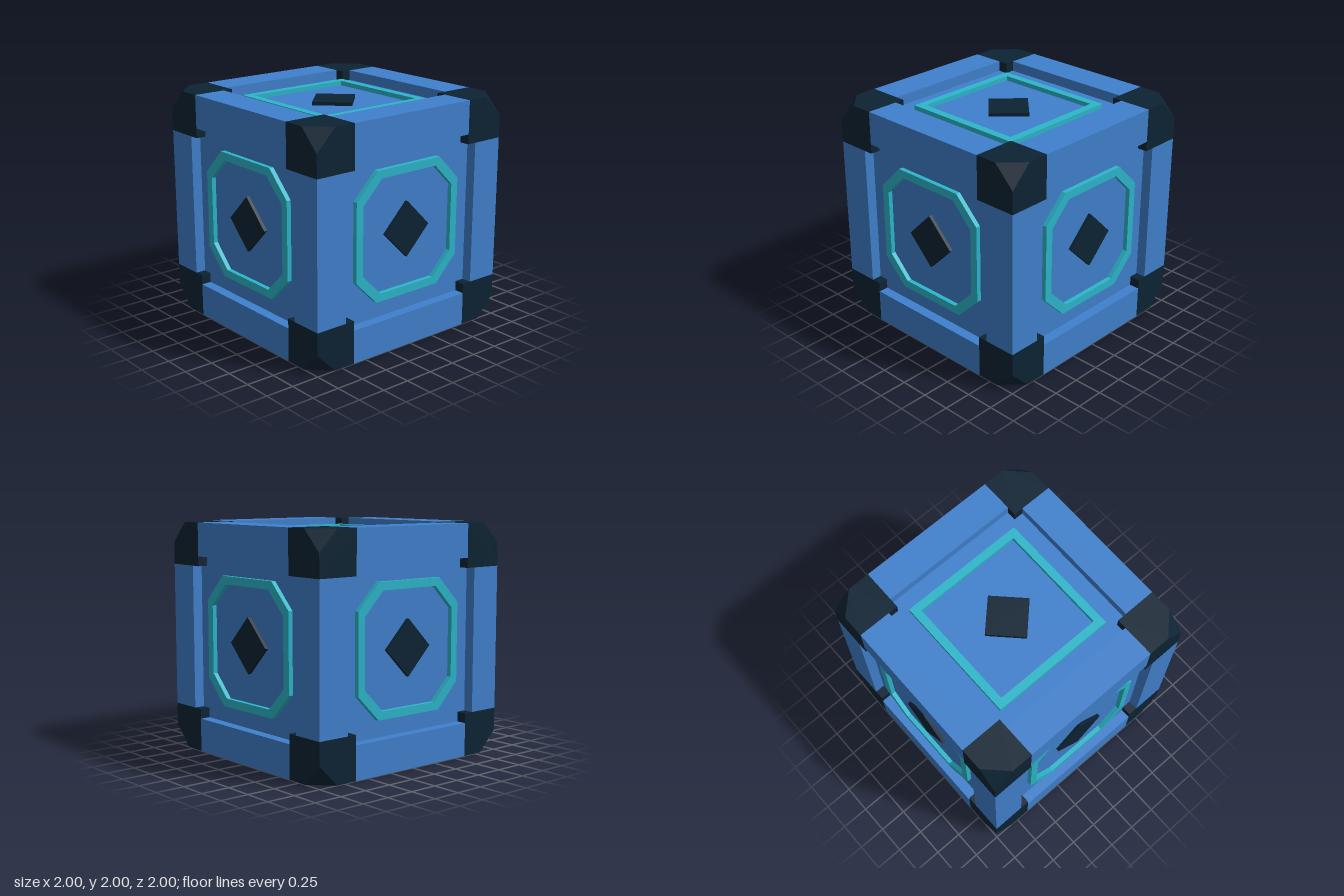
import * as THREE from 'three';
import { ConvexGeometry } from 'three/addons/geometries/ConvexGeometry.js';

const PANEL = 0.91;   // half size of the recessed core
const BEAM = 0.29;    // thickness of the edge beams
const BLOCK = 0.375;  // size of the corner blocks
const CUT = 0.18;     // length of the corner cut

const blue = new THREE.MeshStandardMaterial({ color: 0x4080cd });
blue.name = 'blue';
const teal = new THREE.MeshStandardMaterial({ color: 0x2cb6ca });
teal.name = 'teal';
const dark = new THREE.MeshStandardMaterial({ color: 0x0d2334 });
dark.name = 'darkNavy';

function add(parent, name, geometry, material) {
  const mesh = new THREE.Mesh(geometry, material);
  mesh.name = name;
  parent.add(mesh);
  return mesh;
}

// Square outline with half size r and corners cut by c
function outline(r, c) {
  const k = r - c;
  const points = c > 0
    ? [[r, -k], [r, k], [k, r], [-k, r], [-r, k], [-r, -k], [-k, -r], [k, -r]]
    : [[r, -r], [r, r], [-r, r], [-r, -r]];
  return points.map(([x, y]) => new THREE.Vector2(x, y));
}

function ringGeometry(octagonal) {
  const shape = new THREE.Shape(outline(0.56, octagonal ? 0.22 : 0));
  shape.holes.push(new THREE.Path(outline(0.49, octagonal ? 0.195 : 0).reverse()));
  return new THREE.ExtrudeGeometry(shape, { depth: 0.05, bevelEnabled: false });
}

// Cube block with its outer corner sliced off
function cornerGeometry(sx, sy, sz) {
  const a = 1 - BLOCK, b = 1 - CUT;
  const points = [
    [a, a, a], [1, a, a], [a, 1, a], [a, a, 1], [1, 1, a], [1, a, 1], [a, 1, 1],
    [b, 1, 1], [1, b, 1], [1, 1, b],
  ].map(([x, y, z]) => new THREE.Vector3(x * sx, y * sy, z * sz));
  return new ConvexGeometry(points);
}

export function createModel() {
  const model = new THREE.Group();
  model.name = 'cube';
  const body = new THREE.Group();
  body.name = 'body';
  body.position.y = 1;
  model.add(body);

  // Recessed core whose faces are the panels
  add(body, 'core', new THREE.BoxGeometry(2 * PANEL, 2 * PANEL, 2 * PANEL), blue);

  // Twelve edge beams running between the corner blocks
  const mid = 1 - BEAM / 2;
  for (const axis of [0, 1, 2]) {
    for (const s of [-1, 1]) {
      for (const t of [-1, 1]) {
        const size = [BEAM, BEAM, BEAM];
        size[axis] = 2 * (1 - BLOCK);
        const position = [0, 0, 0];
        position[(axis + 1) % 3] = s * mid;
        position[(axis + 2) % 3] = t * mid;
        add(body, 'edgeBeam', new THREE.BoxGeometry(...size), blue).position.set(...position);
      }
    }
  }

  // Eight corner blocks
  for (const x of [-1, 1]) for (const y of [-1, 1]) for (const z of [-1, 1]) {
    add(body, 'cornerBlock', cornerGeometry(x, y, z), dark);
  }

  // Ring and diamond on each face
  const q = Math.PI / 2;
  const faces = [
    ['front', 0, 0, true], ['back', 0, 2 * q, true], ['left', 0, q, true],
    ['right', 0, -q, true], ['top', -q, 0, false], ['bottom', q, 0, false],
  ];
  for (const [name, rx, ry, octagonal] of faces) {
    const face = new THREE.Group();
    face.name = name + 'Emblem';
    face.rotation.set(rx, ry, 0);
    body.add(face);
    add(face, 'ring', ringGeometry(octagonal), teal).position.z = PANEL - 0.01;
    const side = 0.24 * Math.SQRT2;
    const diamond = add(face, 'diamond', new THREE.BoxGeometry(side, side, 0.06), dark);
    diamond.rotation.z = Math.PI / 4;
    diamond.position.z = PANEL;
  }
  return model;
}
